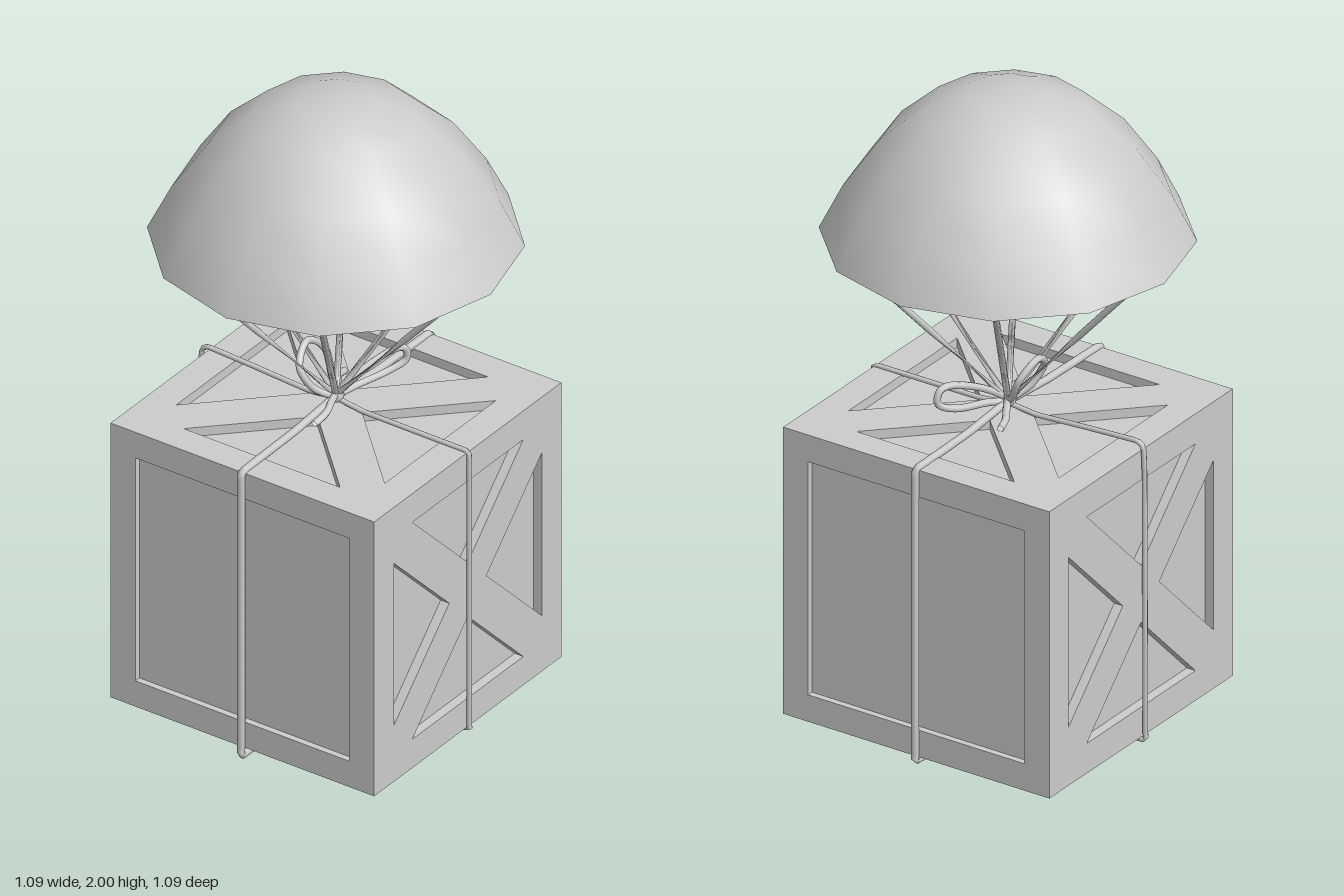
import * as THREE from 'three';
import { toCreasedNormals } from 'three/addons/utils/BufferGeometryUtils.js';

const HALF = 0.464, MID = 0.503;
const grey = new THREE.MeshStandardMaterial({ color: 0xcccccc });
const greyThin = new THREE.MeshStandardMaterial({ color: 0xcccccc, side: THREE.DoubleSide });

function add(parent, name, geometry, material = grey) {
  const mesh = new THREE.Mesh(geometry, material);
  mesh.name = name;
  parent.add(mesh);
  return mesh;
}

const V = (p) => new THREE.Vector3(...p);

// Rope through points; low tension keeps the runs straight
function rope(parent, name, points, radius, { closed = false, tension = 0.08, segments = 120 } = {}) {
  const curve = new THREE.CatmullRomCurve3(points.map(V), closed, 'catmullrom', tension);
  return add(parent, name, new THREE.TubeGeometry(curve, segments, radius, 8, closed), greyThin);
}

// Flat plate w x h with cut-outs, its outer face at z = 0
function plate(w, h, depth, holes) {
  const shape = new THREE.Shape([[-1, -1], [1, -1], [1, 1], [-1, 1]]
    .map(([x, y]) => new THREE.Vector2(x * w / 2, y * h / 2)));
  shape.holes = holes.map((pts) => new THREE.Path(pts.map(([x, y]) => new THREE.Vector2(x, y))));
  return new THREE.ExtrudeGeometry(shape, { depth, bevelEnabled: false }).translate(0, 0, -depth);
}

function buildCrate() {
  const crate = new THREE.Group();
  crate.name = 'crate';
  crate.position.y = MID;
  const square = [[[-0.377, -0.377], [-0.377, 0.377], [0.377, 0.377], [0.377, -0.377]]];
  // Four triangles leave a cross brace between them
  const triangles = [0, 1, 2, 3].map((i) => {
    const c = Math.cos(i * Math.PI / 2), s = Math.sin(i * Math.PI / 2);
    return [[-0.275, 0.367], [0.275, 0.367], [0, 0.092]].map(([x, y]) => [x * c - y * s, x * s + y * c]);
  });
  const deep = 0.03, shallow = 0.02, full = 2 * HALF;
  const sideW = full - 2 * shallow, capW = full - 2 * deep;
  add(crate, 'crateCore', new THREE.BoxGeometry(capW, capW, sideW));
  const faces = [
    ['frontPanel', plate(full, full, shallow, square), 0, 0],
    ['backPanel', plate(full, full, shallow, square), 0, Math.PI],
    ['leftPanel', plate(sideW, full, deep, triangles), 0, Math.PI / 2],
    ['rightPanel', plate(sideW, full, deep, triangles), 0, -Math.PI / 2],
    ['topPanel', plate(capW, sideW, deep, triangles), -Math.PI / 2, 0],
    ['bottomPanel', plate(capW, sideW, deep, triangles), Math.PI / 2, 0],
  ];
  for (const [name, geometry, rx, ry] of faces) {
    const panel = add(crate, name, geometry);
    panel.rotation.set(rx, ry, 0);
    panel.translateZ(HALF);
  }
  return crate;
}

function buildCanopy() {
  // Up the outside, then back down the inside to the rim
  const outer = [[0.545, 1.53], [0.475, 1.67], [0.37, 1.82], [0.24, 1.938], [0.12, 1.988], [0, 2]];
  const inner = [[0, 1.97], [0.115, 1.957], [0.226, 1.91], [0.347, 1.8], [0.45, 1.655], [0.513, 1.53]];
  const lathe = (pts) => new THREE.LatheGeometry(pts.map(([r, y]) => new THREE.Vector2(r, y)), 12);
  const canopy = new THREE.Group();
  canopy.name = 'canopy';
  add(canopy, 'canopyOuter', toCreasedNormals(lathe(outer), 0.9), greyThin);
  add(canopy, 'canopyInner', toCreasedNormals(lathe(inner), 0.9), greyThin);
  add(canopy, 'canopyRim', lathe([inner[5], outer[0]]), greyThin);
  return canopy;
}

function buildRopes() {
  const ropes = new THREE.Group();
  ropes.name = 'ropes';

  // Loop over front, top, back and bottom
  rope(ropes, 'frontBackStrap', [
    [0, 0.04, 0.47], [0, 0.95, 0.47], [0, 0.97, 0.452], [0, 0.975, 0.2], [0, 0.99, 0],
    [0, 0.973, -0.2], [0, 0.968, -0.452], [0, 0.95, -0.47], [0, 0.045, -0.47],
    [0, 0.026, -0.455], [0, 0.012, 0.455],
  ], 0.012, { closed: true, segments: 240 });

  // Loop over the sides, lifted loosely at one corner
  rope(ropes, 'sideStrap', [
    [0.469, 0.05, 0], [0.469, 0.95, 0], [0.455, 0.97, 0], [0.1, 0.972, 0], [0, 0.985, 0],
    [-0.1, 0.975, 0], [-0.3, 0.987, 0], [-0.45, 0.994, 0], [-0.472, 0.98, 0], [-0.476, 0.9, 0],
    [-0.479, 0.06, 0], [-0.465, 0.033, 0], [0.455, 0.033, 0],
  ], 0.008, { closed: true, segments: 240 });

  // Bow loops, tails and knot
  rope(ropes, 'bowLoopUpright', [
    [0, 0.995, 0], [-0.04, 1.03, 0.055], [-0.075, 1.1, 0.075], [-0.095, 1.148, 0.01],
    [-0.075, 1.1, -0.05], [-0.04, 1.03, -0.035],
  ], 0.011, { closed: true, tension: 0.5 });
  rope(ropes, 'bowLoopLow', [
    [0, 0.995, 0], [0.035, 1.05, -0.07], [0.075, 1.087, -0.16], [0.095, 1.083, -0.205],
    [0.095, 1.04, -0.212], [0.065, 1.015, -0.16], [0.03, 1.005, -0.07],
  ], 0.011, { closed: true, tension: 0.5 });
  rope(ropes, 'bowTailFront', [[0, 1, 0], [0.02, 1.005, 0.05], [0.035, 0.995, 0.1], [0.03, 0.982, 0.15]],
    0.011, { tension: 0.5, segments: 24 });
  rope(ropes, 'bowTailBack', [[0, 1, 0], [-0.03, 1.005, -0.05], [-0.06, 0.99, -0.1], [-0.07, 0.98, -0.14]],
    0.011, { tension: 0.5, segments: 24 });
  add(ropes, 'knot', new THREE.SphereGeometry(0.024, 12, 8)).position.set(0, 0.995, 0);

  // Six suspension lines from the knot to the canopy
  for (let i = 0; i < 6; i++) {
    const a = i * Math.PI / 3;
    rope(ropes, 'suspensionLine', [[0, 0.995, 0], [Math.cos(a) * 0.49, 1.545, Math.sin(a) * 0.49]],
      0.01, { segments: 2 });
  }
  return ropes;
}

export function createModel() {
  const model = new THREE.Group();
  model.name = 'parachuteCrate';
  model.add(buildCrate(), buildCanopy(), buildRopes());
  return model;
}
